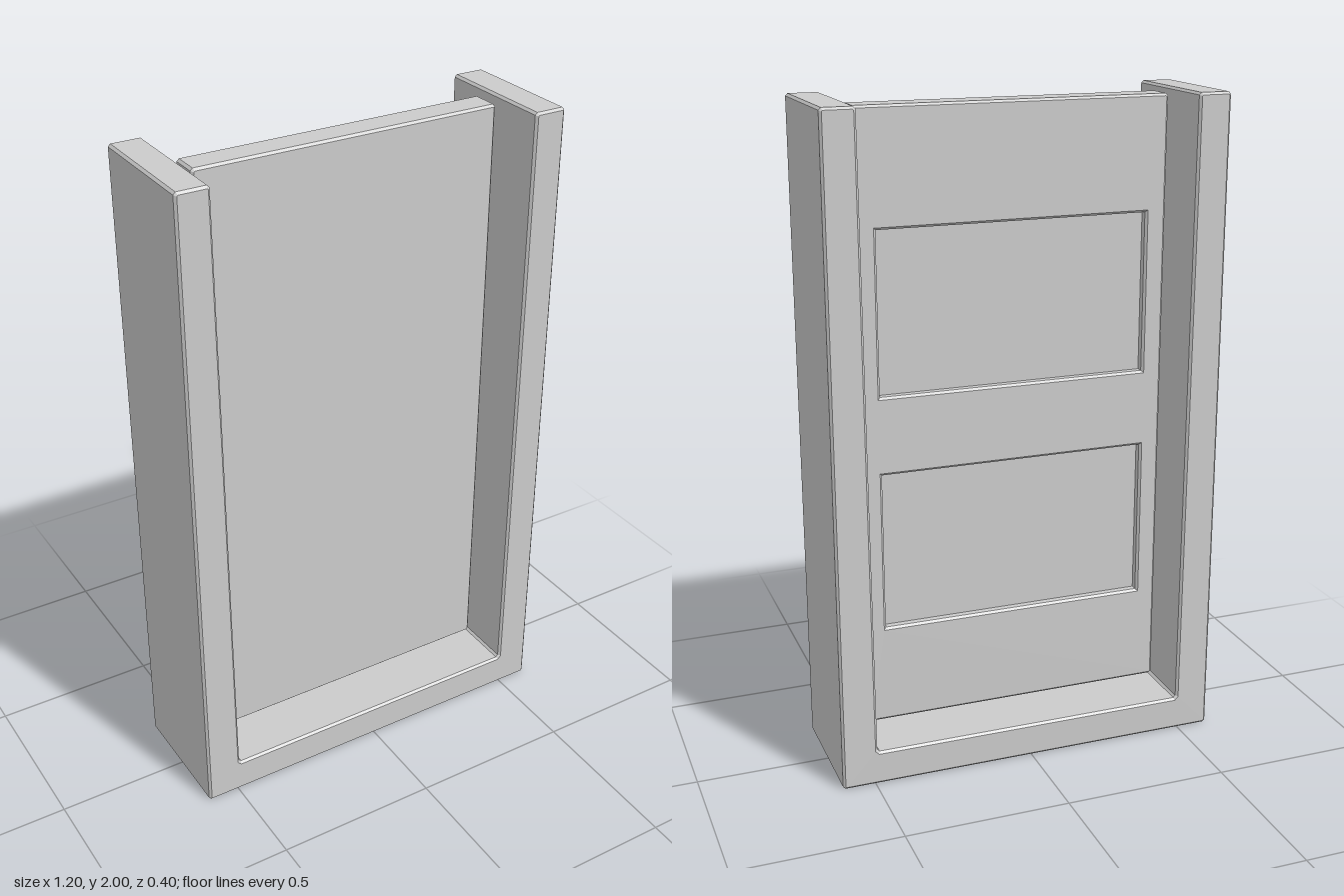
import * as THREE from 'three';

const BEVEL = 0.007;
const material = new THREE.MeshStandardMaterial({ color: 0xcccccc });

// Closed outline with every corner cut by a small chamfer
function chamfered(points, cut) {
  const pts = points.map(([x, y]) => new THREE.Vector2(x, y));
  const out = [];
  pts.forEach((p, i) => {
    const prev = pts[(i + pts.length - 1) % pts.length];
    const next = pts[(i + 1) % pts.length];
    for (const q of [prev, next]) {
      out.push(q.clone().sub(p).setLength(cut).add(p));
    }
  });
  return out;
}

const rect = (w, y0, y1) => [[-w, y0], [w, y0], [w, y1], [-w, y1]];

// Extrudes an outline from z0 to z1, keeping its overall size with bevelled rims
function bevelled(name, shape, z0, z1) {
  const geometry = new THREE.ExtrudeGeometry(shape, {
    depth: z1 - z0 - 2 * BEVEL,
    bevelEnabled: true,
    bevelThickness: BEVEL,
    bevelSize: BEVEL,
    bevelOffset: -BEVEL,
    bevelSegments: 1,
  });
  geometry.translate(0, 0, z0 + BEVEL);
  const mesh = new THREE.Mesh(geometry, material);
  mesh.name = name;
  return mesh;
}

export function createModel() {
  const model = new THREE.Group();
  model.name = 'framedPanel';

  // U-shaped frame: two posts, slightly thicker at the foot, joined by a sill
  const frame = new THREE.Shape(chamfered([
    [-0.6, 0], [0.6, 0], [0.6, 2], [0.5, 2],
    [0.492, 0.105], [-0.492, 0.105], [-0.5, 2], [-0.6, 2],
  ], BEVEL));
  model.add(bevelled('frame', frame, -0.2, 0.2));

  // Floating panel: a plain front slab with a windowed layer over its back
  const panel = new THREE.Group();
  panel.name = 'panel';
  const outline = () => new THREE.Shape(chamfered(rect(0.477, 0.125, 1.985), BEVEL));
  panel.add(bevelled('panelSlab', outline(), -0.02, 0.045));

  // Two sunken rectangles on the back
  const backLayer = outline();
  for (const y of [0.424, 1.148]) {
    const hole = rect(0.413, y + BEVEL, y + 0.5 - BEVEL).map(([x, v]) => new THREE.Vector2(x, v));
    backLayer.holes.push(new THREE.Path(hole.reverse()));
  }
  panel.add(bevelled('panelBackFrame', backLayer, -0.047, 0.03));
  model.add(panel);

  return model;
}
